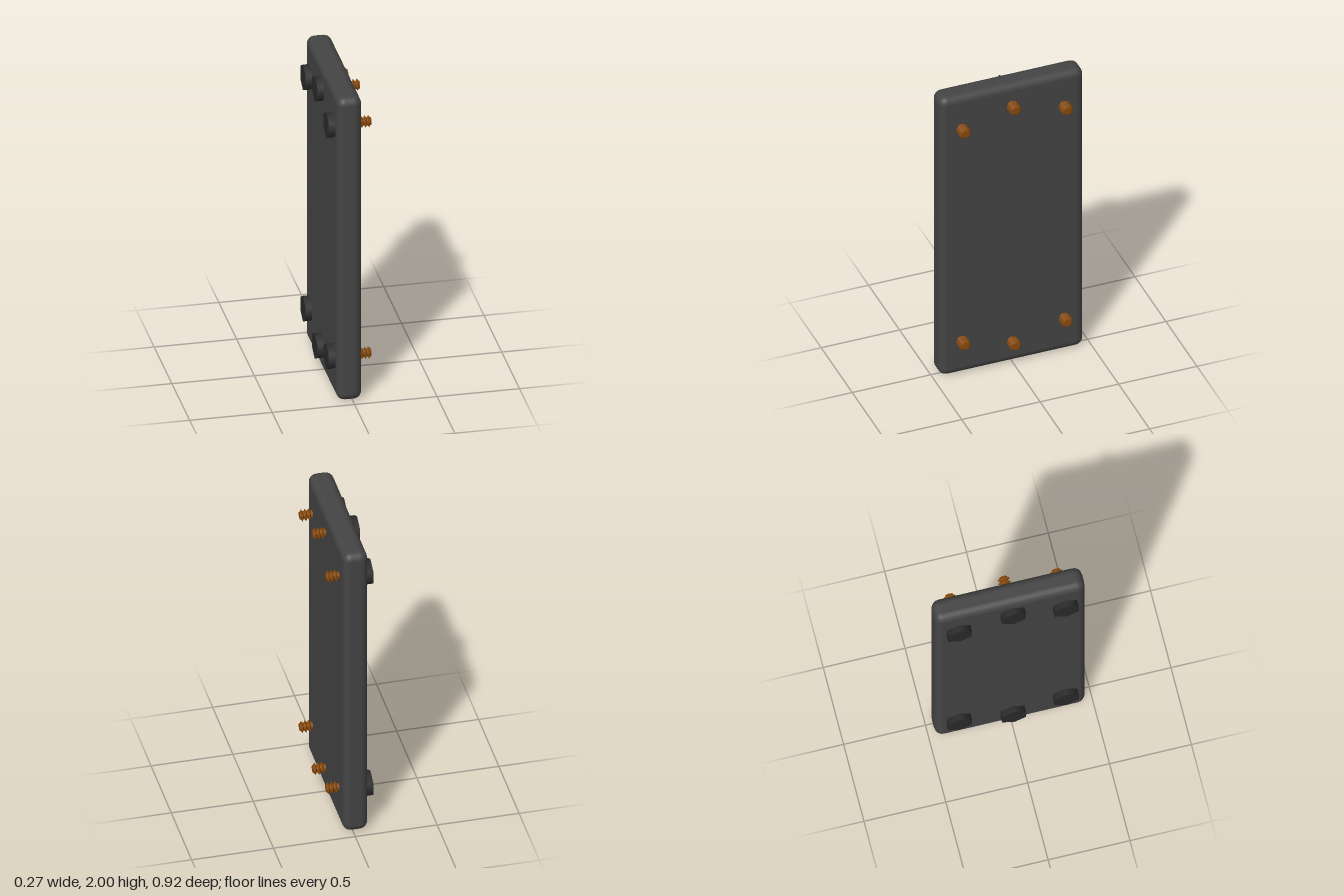
import * as THREE from 'three';
import { RoundedBoxGeometry } from 'three/addons/geometries/RoundedBoxGeometry.js';
import { toCreasedNormals } from 'three/addons/utils/BufferGeometryUtils.js';

const PLATE_BACK = -0.093, PLATE_FRONT = 0.058, SHAFT_END = 0.135;

const plateMaterial = new THREE.MeshStandardMaterial({ color: 0x444444 });
const headMaterial = new THREE.MeshStandardMaterial({ color: 0x2a2a2a });
const threadMaterial = new THREE.MeshStandardMaterial({ color: 0x8a4b0c });

function addMesh(parent, name, geometry, material) {
  const mesh = new THREE.Mesh(geometry, material);
  mesh.name = name;
  parent.add(mesh);
  return mesh;
}

// Cylinder lying along x between two stations
function discX(radius, x0, x1, sides) {
  const geometry = new THREE.CylinderGeometry(radius, radius, x1 - x0, sides, 1, false, Math.PI / 2);
  return geometry.rotateZ(-Math.PI / 2).translate((x0 + x1) / 2, 0, 0);
}

// Shaft profile with sharp thread ridges, turned about x
function threadedShaft() {
  const core = 0.024, crest = 0.036, half = 0.007;
  const profile = [new THREE.Vector2(0, PLATE_BACK), new THREE.Vector2(core, PLATE_BACK)];
  for (const x of [0.078, 0.1, 0.122]) {
    profile.push(
      new THREE.Vector2(core, x - half),
      new THREE.Vector2(crest, x),
      new THREE.Vector2(core, x + half)
    );
  }
  profile.push(new THREE.Vector2(core, SHAFT_END), new THREE.Vector2(0, SHAFT_END));
  const geometry = new THREE.LatheGeometry(profile, 24).rotateZ(-Math.PI / 2);
  return toCreasedNormals(geometry, Math.PI / 6);
}

export function createModel() {
  const model = new THREE.Group();
  model.name = 'boltedPlate';

  // Slab with softly bevelled edges
  const plate = addMesh(model, 'plate',
    new RoundedBoxGeometry(PLATE_FRONT - PLATE_BACK, 2, 0.918, 3, 0.05), plateMaterial);
  plate.position.set((PLATE_BACK + PLATE_FRONT) / 2, 1, 0);

  // Hex head, collar and threaded shaft shared by all bolts
  const headGeometry = discX(0.085, -0.136, -0.096, 6);
  const collarGeometry = discX(0.055, -0.097, PLATE_BACK + 0.002, 24);
  const shaftGeometry = threadedShaft();

  // Three bolts in an arc at each end
  const places = [
    [1.78, 0.33], [1.865, 0.008], [1.78, -0.322],
    [0.25, 0.33], [0.165, 0.008], [0.25, -0.322]
  ];
  for (const [y, z] of places) {
    const bolt = new THREE.Group();
    bolt.name = 'bolt';
    addMesh(bolt, 'hexHead', headGeometry, headMaterial);
    addMesh(bolt, 'collar', collarGeometry, headMaterial);
    addMesh(bolt, 'threadedShaft', shaftGeometry, threadMaterial);
    bolt.position.set(0, y, z);
    model.add(bolt);
  }
  return model;
}
